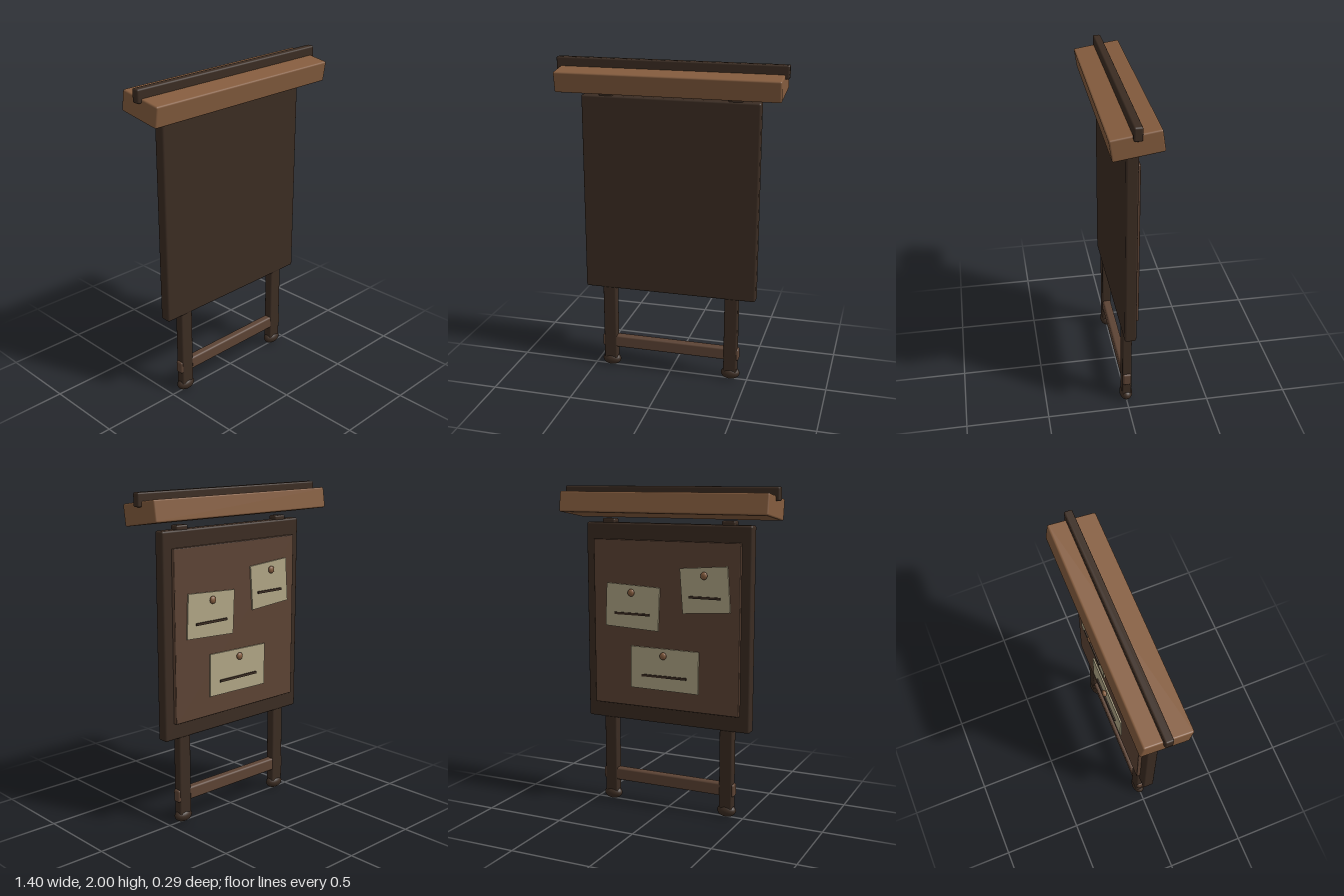
import * as THREE from 'three';
import { RoundedBoxGeometry } from 'three/addons/geometries/RoundedBoxGeometry.js';

const flat = (name, color) => {
  const m = new THREE.MeshStandardMaterial({ color });
  m.name = name;
  return m;
};

export function createModel() {
  const darkWood = flat('dark wood', 0x3b2c22);
  const midWood = flat('mid brown', 0x5c4334);
  const lightWood = flat('light wood', 0x845c3e);
  const paper = flat('paper', 0xb0a585);

  const model = new THREE.Group();
  model.name = 'noticeBoard';

  function add(name, geometry, material, x, y, z, parent = model) {
    const mesh = new THREE.Mesh(geometry, material);
    mesh.name = name;
    mesh.position.set(x, y, z);
    parent.add(mesh);
    return mesh;
  }
  // box with softened edges
  const softBox = (w, h, d, r) => new RoundedBoxGeometry(w, h, d, 2, r);

  // posts standing on flattened ball feet
  for (const side of [1, -1]) {
    const prefix = side > 0 ? 'left' : 'right';
    add(prefix + 'Post', softBox(0.085, 1.76, 0.058, 0.01), darkWood, side * 0.394, 0.925, 0);
    const foot = add(prefix + 'Foot', new THREE.SphereGeometry(1, 24, 16), darkWood, side * 0.394, 0.04, 0);
    foot.scale.set(0.06, 0.04, 0.04);
  }

  // cross rail whose ends pass through the posts
  add('crossRail', softBox(0.895, 0.08, 0.052, 0.012), midWood, 0, 0.175, 0);

  // main board and the pinning panel on its back
  add('board', softBox(1.09, 1.23, 0.07, 0.012), darkWood, 0, 1.165, 0);
  add('pinPanel', softBox(0.966, 1.03, 0.03, 0.005), midWood, 0, 1.165, -0.043);

  // tilted roof with a ridge beam along it
  const roof = add('roof', softBox(1.35, 0.125, 0.282, 0.01), lightWood, 0, 1.886, 0);
  roof.rotation.x = 0.15;
  add('ridgeBeam', softBox(1.396, 0.08, 0.048, 0.01), darkWood, 0, 1.96, 0);

  // notes: x, y, width, height, turn
  const notes = [
    [0.215, 1.273, 0.36, 0.266, 0.045],
    [-0.265, 1.398, 0.305, 0.27, -0.075],
    [0, 0.8975, 0.452, 0.26, 0.012],
  ];
  for (const [x, y, w, h, turn] of notes) {
    const note = new THREE.Group();
    note.name = 'note';
    note.position.set(x, y, 0);
    model.add(note);
    const sheet = add('sheet', new THREE.BoxGeometry(w, h, 0.009), paper, 0, 0, -0.0625, note);
    sheet.rotation.z = turn;
    add('writtenLine', new THREE.BoxGeometry(w * 0.66, 0.014, 0.009), darkWood, 0, -0.044, -0.0705, note);
    const pin = add('pin', new THREE.SphereGeometry(1, 16, 12), lightWood, 0, 0.088, -0.081, note);
    pin.scale.set(0.022, 0.023, 0.014);
  }

  return model;
}
